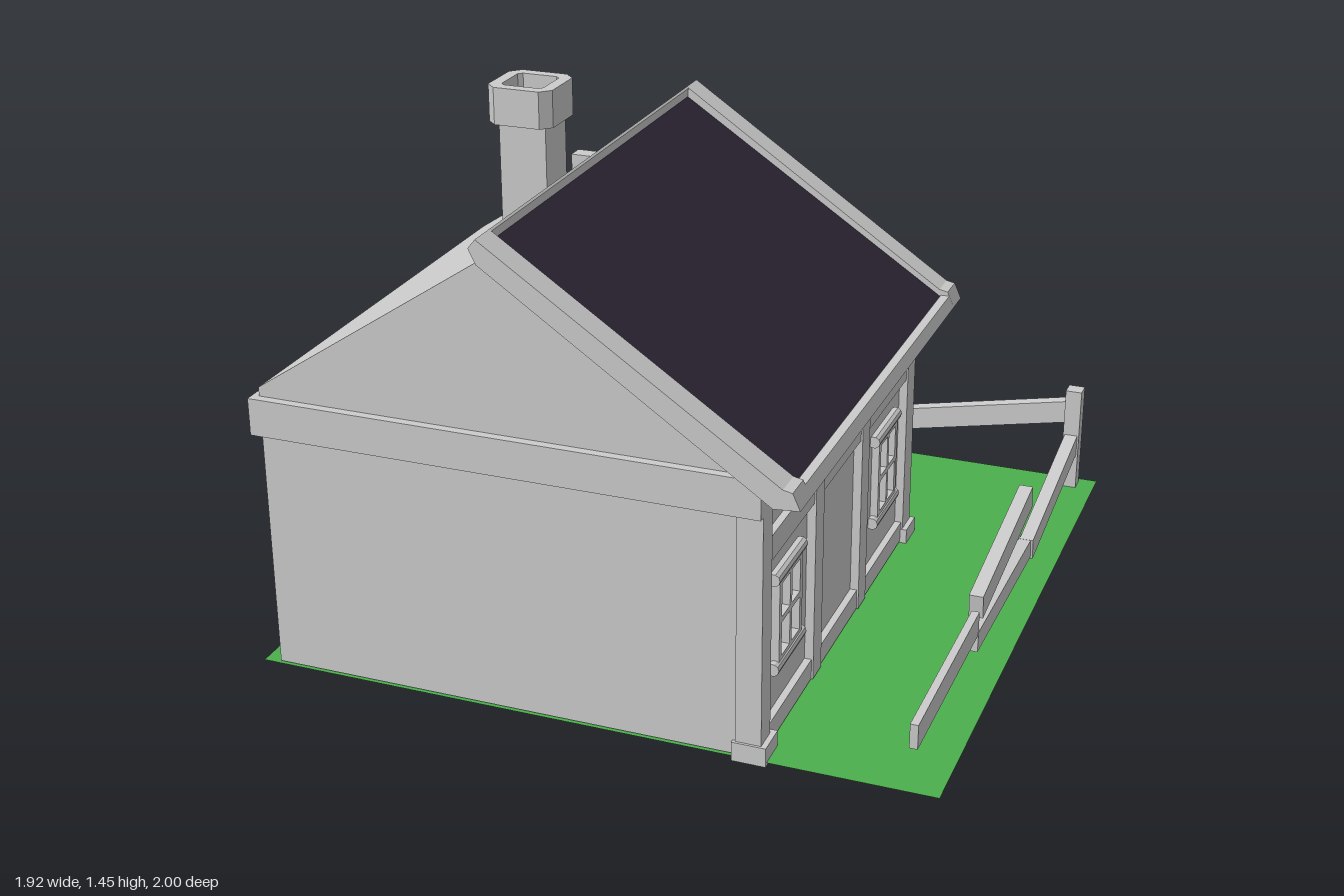
import * as THREE from 'three';

const mat = (color, side = THREE.FrontSide) =>
  new THREE.MeshStandardMaterial({ color, side, flatShading: true });

export function createModel() {
  const model = new THREE.Group();
  const grey = mat(0xcccccc), dark = mat(0x2c2434), green = mat(0x4caf4c, THREE.DoubleSide);
  const gold = mat(0xc9a83c), soot = mat(0x444444);

  const add = (name, geometry, material = grey, parent = model) => {
    const mesh = new THREE.Mesh(geometry, material);
    mesh.name = name;
    parent.add(mesh);
    return mesh;
  };
  // Box given by its two corners
  const box = (name, x0, x1, y0, y1, z0, z1, material = grey, parent = model) => {
    const m = add(name, new THREE.BoxGeometry(x1 - x0, y1 - y0, z1 - z0), material, parent);
    m.position.set((x0 + x1) / 2, (y0 + y1) / 2, (z0 + z1) / 2);
    return m;
  };
  // Outline in x/y pushed from z0 to z1
  const prism = (name, points, z0, z1, material = grey) => {
    const shape = new THREE.Shape(points.map(p => new THREE.Vector2(...p)));
    const m = add(name, new THREE.ExtrudeGeometry(shape, { depth: z1 - z0, bevelEnabled: false }), material);
    m.position.z = z0;
    return m;
  };
  // Plank running between two points
  const plank = (name, a, b, height, thick) => {
    const p = new THREE.Vector3(...a), q = new THREE.Vector3(...b);
    const m = add(name, new THREE.BoxGeometry(thick, height, p.distanceTo(q)));
    m.position.copy(p).add(q).multiplyScalar(0.5);
    m.lookAt(q);
    return m;
  };

  // Ground
  const ground = add('ground', new THREE.PlaneGeometry(1.92, 1.92).rotateX(-Math.PI / 2), green);
  ground.position.set(0, 0.035, -0.04);

  // House core with gables and the plain roof side
  prism('houseBody', [[-0.91, 0.04], [0.465, 0.04], [0.465, 0.84], [-0.22, 1.32], [-0.91, 0.86]], -0.43, 0.915);
  // Eave band around front, left and back
  box('frontBand', -0.93, 0.49, 0.73, 0.835, 0.9, 0.94);
  box('leftBand', -0.93, -0.89, 0.73, 0.835, -0.46, 0.94);
  box('backBand', -0.93, 0.49, 0.73, 0.835, -0.46, -0.42);
  box('sideBand', 0.45, 0.49, 0.725, 0.83, -0.45, 0.92);

  // Timber frame of the right wall
  for (const [z0, z1] of [[0.85, 0.92], [0.425, 0.495], [0.01, 0.08], [-0.45, -0.375]])
    box('sidePost', 0.42, 0.49, 0.04, 0.83, z0, z1);
  box('sideSill', 0.45, 0.485, 0.04, 0.1, -0.45, 0.92);
  box('sideRail', 0.45, 0.485, 0.57, 0.64, -0.45, 0.92);

  // Timber frame of the back wall
  for (const [x0, x1, y1] of [[-0.91, -0.86, 0.8], [-0.59, -0.52, 1.14], [0.065, 0.135, 1.12], [0.42, 0.49, 0.83]])
    box('backPost', x0, x1, 0.04, y1, -0.452, -0.4);
  box('backRail', -0.91, 0.49, 0.57, 0.64, -0.448, -0.42);
  box('backSillLeft', 0.07, 0.49, 0.04, 0.1, -0.448, -0.42);
  box('backSillRight', -0.91, -0.52, 0.04, 0.1, -0.448, -0.42);

  // Feet under the house corners
  for (const [x, z] of [[0.458, 0.88], [0.458, -0.415], [-0.885, -0.415]])
    box('cornerFoot', x - 0.047, x + 0.047, 0.025, 0.08, z - 0.047, z + 0.047);

  // Cross-barred window in the x/y plane facing +z
  const makeWindow = (name, w, h, f, d, rolls) => {
    const g = new THREE.Group();
    g.name = name;
    const s = new THREE.Shape();
    s.moveTo(-w / 2, -h / 2).lineTo(w / 2, -h / 2).lineTo(w / 2, h / 2).lineTo(-w / 2, h / 2);
    const pw = w / 2 - f * 1.4, ph = h / 2 - f * 1.4;
    for (const sx of [-1, 1]) for (const sy of [-1, 1]) {
      const cx = sx * (pw / 2 + f * 0.4), cy = sy * (ph / 2 + f * 0.4);
      s.holes.push(new THREE.Path([[-1, -1], [-1, 1], [1, 1], [1, -1]].map(
        ([u, v]) => new THREE.Vector2(cx + u * pw / 2, cy + v * ph / 2))));
    }
    add('windowFrame', new THREE.ExtrudeGeometry(s, { depth: d, bevelEnabled: false }), grey, g);
    if (rolls) for (const y of [-1, 1]) {
      const r = add(y > 0 ? 'lintel' : 'sill', new THREE.CylinderGeometry(0.018, 0.018, w + 0.04, 10), grey, g);
      r.rotation.z = Math.PI / 2;
      r.position.set(0, y * (h / 2 + 0.005), d / 2);
    }
    model.add(g);
    return g;
  };
  for (const z of [0.685, -0.195]) {
    const w = makeWindow('sideWindow', 0.185, 0.25, 0.02, 0.022, true);
    w.rotation.y = Math.PI / 2;
    w.position.set(0.465, 0.362, z);
  }
  const gable = makeWindow('gableWindow', 0.34, 0.29, 0.03, 0.03, false);
  gable.rotation.y = Math.PI;
  gable.position.set(-0.245, 0.985, -0.43);

  // Double door with latticed panes
  for (const [x0, x1] of [[-0.51, -0.235], [-0.22, 0.055]]) {
    const cx = (x0 + x1) / 2, cy = 0.375;
    box('doorLeaf', x0, x1, 0.05, 0.53, -0.437, -0.42);
    for (const s of [-1, 1]) {
      box('paneUpright', cx + s * 0.1 - 0.012, cx + s * 0.1 + 0.012, cy - 0.11, cy + 0.11, -0.451, -0.43);
      box('paneRail', cx - 0.112, cx + 0.112, cy + s * 0.11 - 0.012, cy + s * 0.11 + 0.012, -0.451, -0.43);
      for (const o of [-0.08, 0, 0.08]) {
        const bar = box('lattice', cx + o - 0.004, cx + o + 0.004,
          cy - 0.13 + Math.abs(o) * 0.95, cy + 0.13 - Math.abs(o) * 0.95, -0.444, -0.435, gold);
        bar.position.set(cx + o * 0.7, cy + s * o * 0.7, -0.44);
        bar.rotation.z = s * Math.PI / 4;
      }
    }
  }
  box('doorLintel', -0.52, 0.065, 0.53, 0.575, -0.455, -0.42);
  box('doorMullion', -0.24, -0.215, 0.05, 0.53, -0.448, -0.42);
  const knob = add('doorHandle', new THREE.SphereGeometry(0.011, 8, 6), gold);
  knob.position.set(-0.265, 0.24, -0.447);
  box('doorStep', -0.52, 0.09, 0.025, 0.06, -0.59, -0.27);

  // Tiled roof side, its underside board and raised border
  prism('roofBoard', [[-0.22, 1.32], [0.55, 0.8], [0.58, 0.815], [-0.22, 1.345]], -0.42, 0.93);
  prism('roofTiles', [[-0.22, 1.343], [0.58, 0.813], [0.58, 0.826], [-0.22, 1.357]], -0.41, 0.92, dark);
  const verge = [[-0.24, 1.36], [-0.22, 1.32], [0.54, 0.8], [0.61, 0.805], [0.59, 0.85], [0.565, 0.855], [-0.22, 1.385]];
  prism('frontVerge', verge, 0.92, 1.0);
  prism('backVerge', verge, -0.49, -0.41);
  prism('ridgeTrim', [[-0.24, 1.36], [-0.22, 1.315], [-0.215, 1.38], [-0.22, 1.385]], -0.41, 0.92);
  prism('eaveTrim', [[0.54, 0.8], [0.61, 0.805], [0.595, 0.838], [0.57, 0.838]], -0.41, 0.92);

  // Chimney with a hollow, corner-cut cap
  box('chimneyStack', -0.655, -0.51, 0.9, 1.37, -0.185, -0.045);
  const cut = (r, c) => [[r, -r + c], [r, r - c], [r - c, r], [-r + c, r], [-r, r - c], [-r, -r + c], [-r + c, -r], [r - c, -r]]
    .map(p => new THREE.Vector2(...p));
  const capShape = new THREE.Shape(cut(0.1, 0.03));
  capShape.holes.push(new THREE.Path(cut(0.065, 0.012).reverse()));
  const cap = add('chimneyCap', new THREE.ExtrudeGeometry(capShape, { depth: 0.11, bevelEnabled: false }).rotateX(-Math.PI / 2));
  cap.position.set(-0.585, 1.335, -0.115);
  box('chimneyFlue', -0.655, -0.515, 1.34, 1.385, -0.185, -0.045, soot);

  // Broken fence
  box('fencePostRight', 0.855, 0.905, 0, 0.365, -0.98, -0.93);
  box('fencePostMiddle', 0.3, 0.345, 0.02, 0.36, -0.985, -0.94);
  box('fencePostLeft', -0.935, -0.885, 0.02, 0.36, -0.98, -0.93);
  plank('backRailRight', [0.32, 0.18, -0.955], [0.88, 0.295, -0.955], 0.07, 0.04);
  plank('backRailLeftUpper', [-0.9, 0.3, -0.935], [-0.385, 0.2, -0.935], 0.065, 0.04);
  plank('backRailLeftLower', [-0.9, 0.12, -0.935], [-0.385, 0.075, -0.935], 0.065, 0.04);
  plank('leftRail', [-0.9, 0.18, -0.95], [-0.9, 0.315, -0.44], 0.07, 0.035);
  plank('rightRailBack', [0.88, 0.185, -0.95], [0.88, 0.1, -0.34], 0.065, 0.04);
  plank('rightRailMiddle', [0.875, 0.1, -0.38], [0.875, 0.125, 0.29], 0.06, 0.036);
  plank('rightRailFront', [0.88, 0.178, 0.28], [0.88, 0.178, 0.89], 0.07, 0.022);
  plank('rightRailUpper', [0.875, 0.285, -0.315], [0.875, 0.215, 0.258], 0.07, 0.04);

  return model;
}
